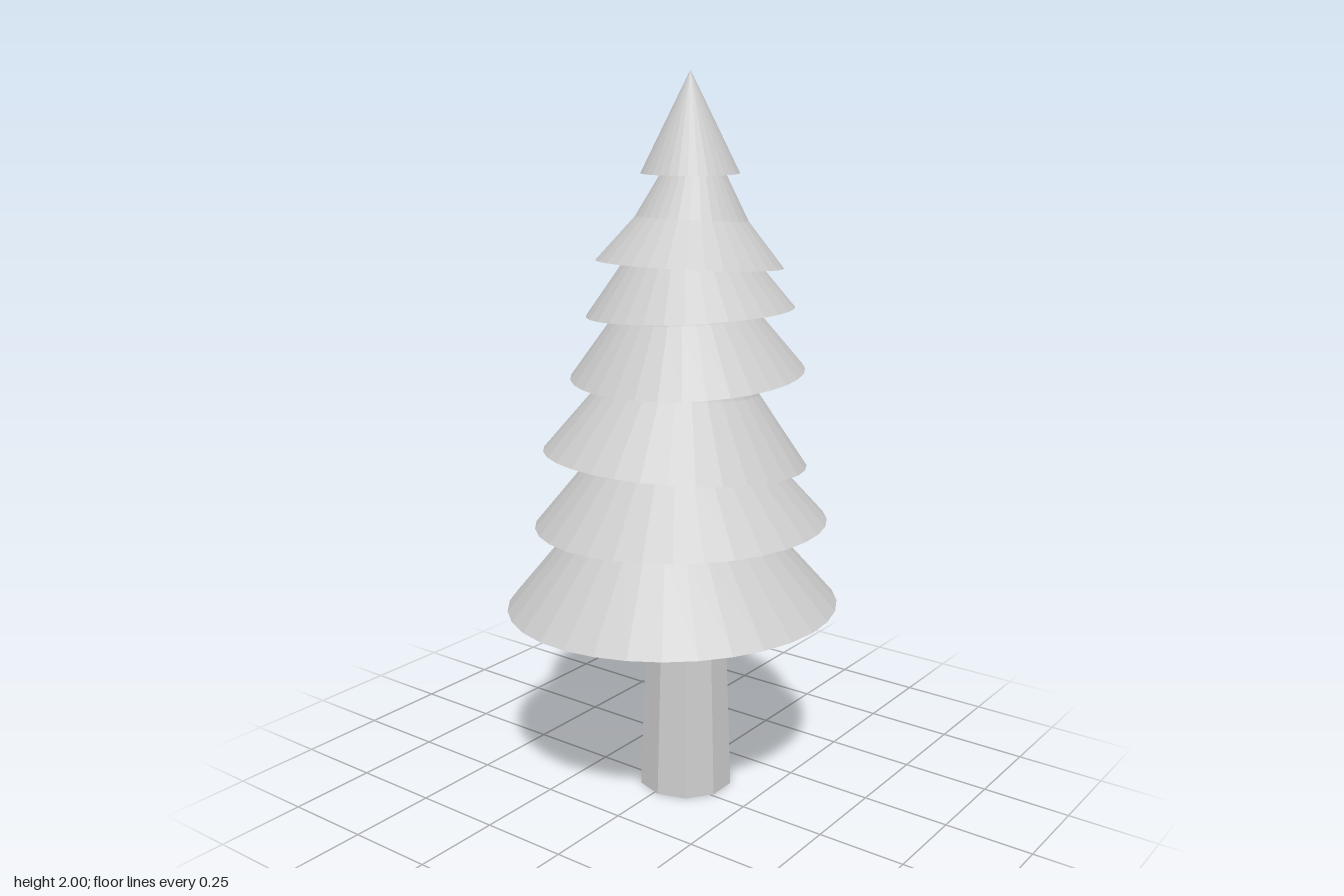
import * as THREE from 'three';

export function createModel() {
  const tree = new THREE.Group();
  tree.name = 'pineTree';

  const foliage = new THREE.MeshStandardMaterial({ color: 0xcccccc, flatShading: true, side: THREE.DoubleSide });
  foliage.name = 'pale grey';

  // Tapered ten-sided trunk, running up inside the lowest tiers
  const trunk = new THREE.Mesh(new THREE.CylinderGeometry(0.1, 0.136, 0.95, 10), foliage);
  trunk.name = 'trunk';
  trunk.position.set(0.013, 0.475, -0.05);
  tree.add(trunk);

  // Hollow skirt: flared lower band, steeper upper band, open at the bottom
  const skirt = (r, h) => new THREE.LatheGeometry([
    new THREE.Vector2(r, 0),
    new THREE.Vector2(r * 0.6, h),
    new THREE.Vector2(r * 0.34, h * 2),
  ], 32);

  // Rim centre x, y, z, rim radius, band height, rim slope along x and z
  const tiers = [
    [0, 0.56, 0, 0.46, 0.215, 0.029, 0.005],
    [0.021, 0.798, -0.012, 0.402, 0.185, 0.034, 0.005],
    [0.018, 0.986, 0.011, 0.358, 0.187, -0.022, 0.074],
    [0.025, 1.212, -0.036, 0.317, 0.163, 0.008, -0.058],
    [0.038, 1.379, -0.03, 0.279, 0.145, 0.058, 0],
    [0.04, 1.505, -0.024, 0.249, 0.118, 0, 0.075],
  ];
  tiers.forEach(([x, y, z, r, h, sx, sz], i) => {
    const tier = new THREE.Mesh(skirt(r, h), foliage);
    tier.name = `branchTier${i + 1}`;
    tier.position.set(x, y, z);
    tier.rotation.set(-sz, 0, sx);
    tree.add(tier);
  });

  // Pointed open cone at the top
  const tip = new THREE.Mesh(new THREE.ConeGeometry(0.13, 0.26, 32, 1, true), foliage);
  tip.name = 'treeTip';
  tip.position.set(0.035, 1.87, -0.032);
  tree.add(tip);

  return tree;
}
